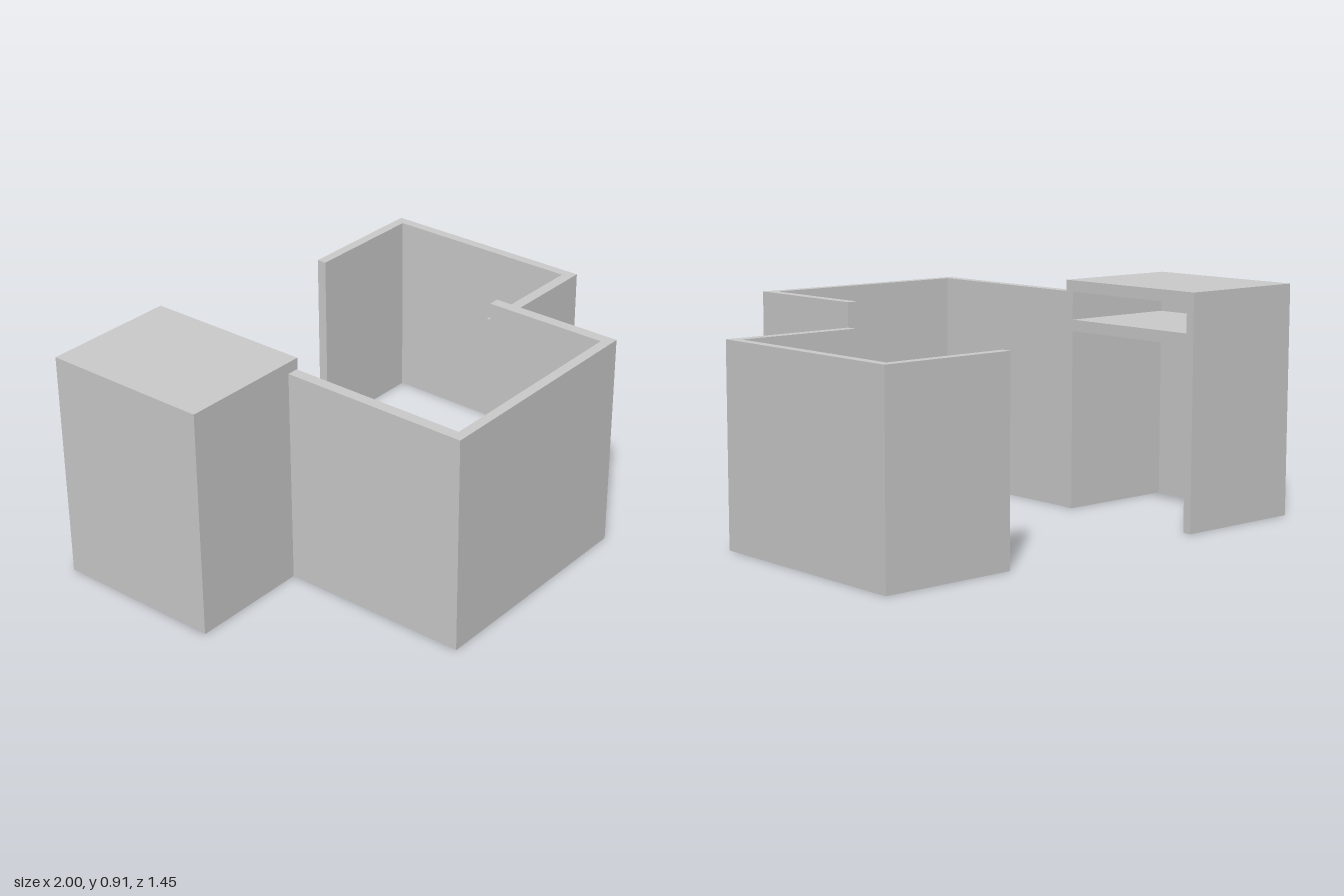
import * as THREE from 'three';

const material = new THREE.MeshStandardMaterial({ color: 0xcccccc, flatShading: true });

// Upright wall run: a plan outline of [x, z] corners raised from the ground
function wallRun(name, height, corners) {
  const shape = new THREE.Shape(corners.map(([x, z]) => new THREE.Vector2(x, -z)));
  const geometry = new THREE.ExtrudeGeometry(shape, { depth: height, bevelEnabled: false });
  geometry.rotateX(-Math.PI / 2);
  const mesh = new THREE.Mesh(geometry, material);
  mesh.name = name;
  return mesh;
}

// Board given by its lowest and highest corners
function board(name, [x0, y0, z0], [x1, y1, z1]) {
  const mesh = new THREE.Mesh(new THREE.BoxGeometry(x1 - x0, y1 - y0, z1 - z0), material);
  mesh.position.set((x0 + x1) / 2, (y0 + y1) / 2, (z0 + z1) / 2);
  mesh.name = name;
  return mesh;
}

export function createModel() {
  const model = new THREE.Group();
  model.name = 'partitionWalls';

  // Taller U-shaped enclosure at the front
  model.add(wallRun('frontEnclosure', 0.865, [
    [-0.51, -0.045], [-0.465, -0.045], [-0.465, 0.685], [0.405, 0.685],
    [0.405, 0.18], [0.45, 0.18], [0.45, 0.725], [-0.51, 0.725],
  ]));

  // Lower C-shaped enclosure on the +x side
  model.add(wallRun('sideEnclosure', 0.77, [
    [0.45, 0.18], [0.45, 0.135], [0.96, 0.135], [0.96, -0.685],
    [0.45, -0.685], [0.45, -0.725], [1, -0.725], [1, 0.18],
  ]));

  // Cabinet: walls on three sides, open towards +x and underneath
  const cabinet = new THREE.Group();
  cabinet.name = 'cabinet';
  cabinet.add(
    wallRun('cabinetWalls', 0.865, [
      [-1, -0.725], [-0.46, -0.725], [-0.46, -0.69], [-0.96, -0.69],
      [-0.96, -0.08], [-0.46, -0.08], [-0.46, -0.045], [-1, -0.045],
    ]),
    board('cabinetTop', [-1, 0.865, -0.725], [-0.46, 0.91, -0.045]),
    board('cabinetShelf', [-0.96, 0.71, -0.69], [-0.46, 0.755, -0.08]),
  );
  model.add(cabinet);
  return model;
}
